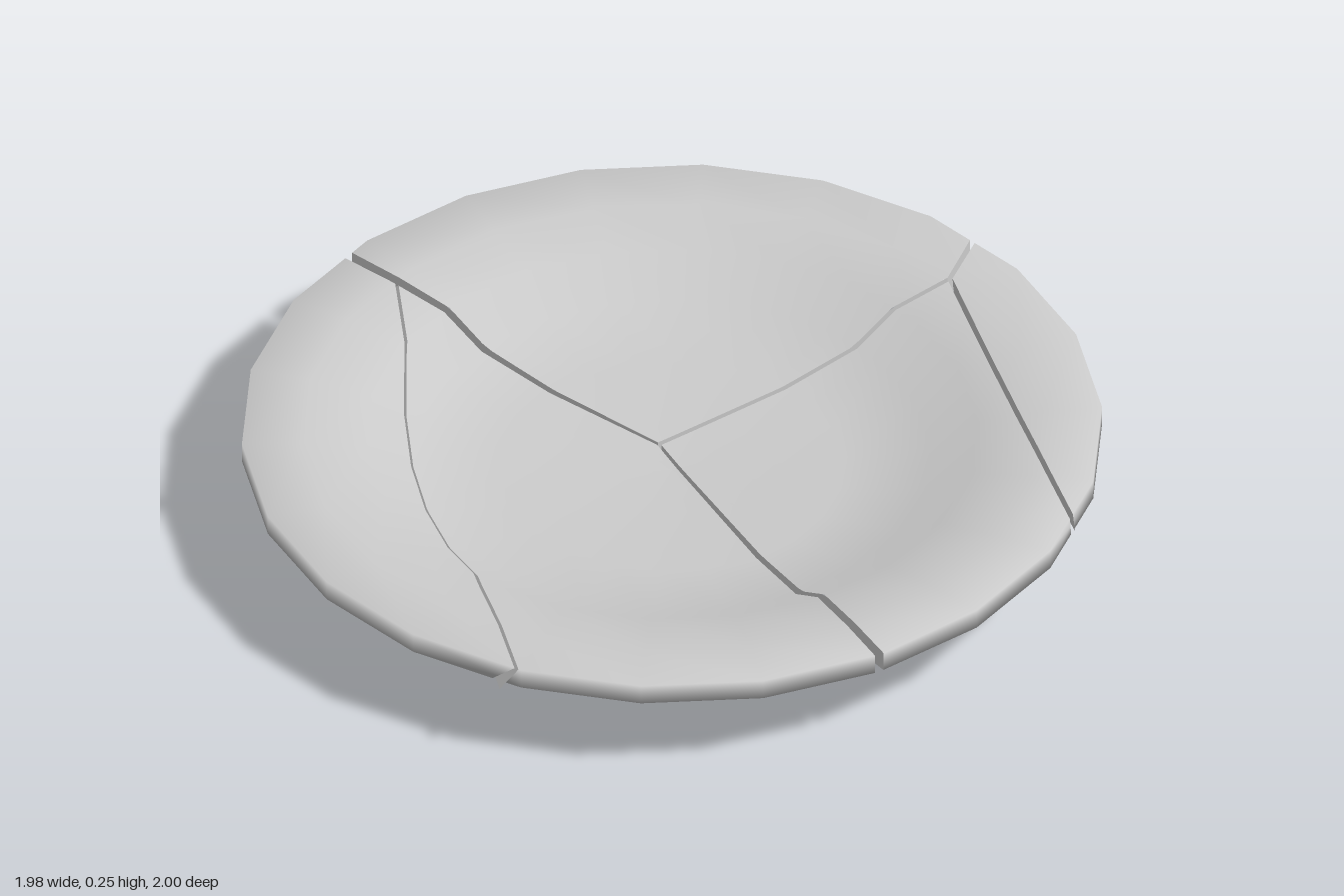
import * as THREE from 'three';

const SIDES = 22;
const RIM_Y = 0.25;
// Underside and upper-side profiles, [radius, height], from the axis outward
const UNDER = [[0, 0], [0.54, 0], [0.74, 0.15], [1, 0.2]];
const UPPER = [[0, 0.12], [0.4, 0.13], [0.6, 0.16], [0.71, 0.225], [0.86, 0.243], [1, RIM_Y]];

// Cracks in plan: two [x, z] points at rim height, half gap at each, sideways lean per unit of depth
const CRACKS = {
  backLeft: { p: [-0.01, -0.1], q: [-0.6, -0.8], gap: [0.004, 0.013], lean: [0, 0] },
  backRight: { p: [-0.01, -0.1], q: [0.75, -0.42], gap: [0.006, 0.006], lean: [0, 0] },
  rimRight: { p: [0.75, -0.42], q: [0.83, -0.54], gap: [0.006, 0.007], lean: [0, 0] },
  front: { p: [-0.01, -0.1], q: [0.285, 0.96], gap: [0.004, 0.011], lean: [0, 0] },
  right: { p: [0.75, -0.42], q: [0.83, 0.52], gap: [0.006, 0.006], lean: [0.1, 0] },
  left: { p: [-0.5, -0.66], q: [-0.55, 0.84], gap: [0.004, 0.004], lean: [-0.9, 0] },
};

// Pieces: a plan point inside each one and the cracks that bound it
const PIECES = [
  ['backPiece', [0.1, -0.6], ['backLeft', 'backRight', 'rimRight']],
  ['rightPiece', [0.45, 0.2], ['backRight', 'right', 'front']],
  ['rightRimShard', [0.92, 0], ['rimRight', 'right']],
  ['frontPiece', [-0.2, 0.3], ['front', 'backLeft', 'left']],
  ['leftRimShard', [-0.85, 0], ['backLeft', 'left']],
];

// Radius measured on the many-sided outline rather than on a circle
function outlineRadius(x, z) {
  const step = (2 * Math.PI) / SIDES;
  const a = (Math.atan2(x, z) + 4 * Math.PI) % step;
  return (Math.hypot(x, z) * Math.cos(a - step / 2)) / Math.cos(step / 2);
}

function heightAt(profile, r) {
  for (let i = 1; i < profile.length; i++) {
    const [r0, y0] = profile[i - 1], [r1, y1] = profile[i];
    if (r <= r1) return y0 + ((y1 - y0) * (r - r0)) / (r1 - r0);
  }
  return profile[profile.length - 1][1];
}

// Cutting plane of a crack, kept on the side of the given plan point
function makeCut({ p, q, gap, lean }, inside) {
  const dir = new THREE.Vector3(q[0] - p[0], 0, q[1] - p[1]).normalize();
  const side = new THREE.Vector3(-dir.z, 0, dir.x);
  if (side.x * (inside[0] - p[0]) + side.z * (inside[1] - p[1]) < 0) side.negate();
  const a = new THREE.Vector3(p[0], RIM_Y, p[1]).addScaledVector(side, gap[0]);
  const b = new THREE.Vector3(q[0], RIM_Y, q[1]).addScaledVector(side, gap[1]);
  const down = new THREE.Vector3(lean[0], -1, lean[1]);
  const plane = new THREE.Plane().setFromCoplanarPoints(a, b, a.clone().add(down));
  if (plane.normal.dot(side) < 0) plane.negate();
  return { plane, a, dir: b.clone().sub(a).normalize(), lean };
}

// Clip a polygon of { pos, nor } corners by a plane
function clip(poly, plane) {
  const out = [];
  poly.forEach((c, i) => {
    const n = poly[(i + 1) % poly.length];
    const d0 = plane.distanceToPoint(c.pos), d1 = plane.distanceToPoint(n.pos);
    if (d0 >= 0) out.push(c);
    if (d0 >= 0 !== d1 >= 0) {
      const t = d0 / (d0 - d1);
      out.push({ pos: c.pos.clone().lerp(n.pos, t), nor: c.nor.clone().lerp(n.nor, t).normalize() });
    }
  });
  return out;
}

// Whole plate as smooth-shaded triangles
function plateTriangles() {
  const profile = [...UNDER, ...[...UPPER].reverse()].map(([r, y]) => new THREE.Vector2(r, y));
  const geo = new THREE.LatheGeometry(profile, SIDES);
  const { position, normal } = geo.attributes;
  const tris = [];
  for (let i = 0; i < geo.index.count; i += 3) {
    const tri = [0, 1, 2].map((k) => {
      const v = geo.index.getX(i + k);
      return {
        pos: new THREE.Vector3().fromBufferAttribute(position, v),
        nor: new THREE.Vector3().fromBufferAttribute(normal, v),
      };
    });
    if (new THREE.Triangle(...tri.map((c) => c.pos)).getArea() > 1e-7) tris.push(tri);
  }
  return tris;
}

// Broken face: the plate's section along a cut, as a strip of quads
function sectionQuads({ plane, a, dir, lean }) {
  const along = (s) => a.clone().addScaledVector(dir, s);
  const mid = -(a.x * dir.x + a.z * dir.z);
  const end = (sign) => {
    let lo = 0, hi = 1.5;
    for (let i = 0; i < 30; i++) {
      const m = (lo + hi) / 2, p = along(mid + sign * m);
      if (outlineRadius(p.x, p.z) < 1) lo = m; else hi = m;
    }
    return mid + sign * lo;
  };
  const onSurface = (base, profile) => {
    let y = 0.2, x, z;
    for (let i = 0; i < 40; i++) {
      x = base.x + lean[0] * (RIM_Y - y);
      z = base.z + lean[1] * (RIM_Y - y);
      y = heightAt(profile, outlineRadius(x, z));
    }
    return new THREE.Vector3(x, y, z);
  };
  const s0 = end(-1), s1 = end(1), N = 72, quads = [];
  const nor = plane.normal.clone().negate();
  const rows = Array.from({ length: N + 1 }, (_, i) => {
    const base = along(s0 + ((s1 - s0) * i) / N);
    return [onSurface(base, UNDER), onSurface(base, UPPER)];
  });
  for (let i = 0; i < N; i++) {
    const [b0, t0] = rows[i], [b1, t1] = rows[i + 1];
    const quad = [b0, b1, t1, t0];
    const facing = b1.clone().sub(b0).cross(t0.clone().sub(b0)).dot(nor);
    if (facing < 0) quad.reverse();
    quads.push(quad.map((pos) => ({ pos, nor })));
  }
  return quads;
}

function pieceGeometry(tris, inside, names) {
  const cuts = names.map((n) => makeCut(CRACKS[n], inside));
  const pos = [], nor = [];
  const add = (poly, planes) => {
    const r = planes.reduce(clip, poly);
    for (let i = 2; i < r.length; i++) {
      for (const c of [r[0], r[i - 1], r[i]]) {
        pos.push(...c.pos.toArray());
        nor.push(...c.nor.toArray());
      }
    }
  };
  tris.forEach((t) => add(t, cuts.map((c) => c.plane)));
  for (const cut of cuts) {
    const others = cuts.filter((c) => c !== cut).map((c) => c.plane);
    sectionQuads(cut).forEach((q) => add(q, others));
  }
  const geo = new THREE.BufferGeometry();
  geo.setAttribute('position', new THREE.Float32BufferAttribute(pos, 3));
  geo.setAttribute('normal', new THREE.Float32BufferAttribute(nor, 3));
  return geo;
}

export function createModel() {
  const group = new THREE.Group();
  group.name = 'brokenPlate';
  const material = new THREE.MeshStandardMaterial({ color: 0xcccccc });
  const tris = plateTriangles();
  for (const [name, inside, names] of PIECES) {
    const mesh = new THREE.Mesh(pieceGeometry(tris, inside, names), material);
    mesh.name = name;
    group.add(mesh);
  }
  return group;
}
